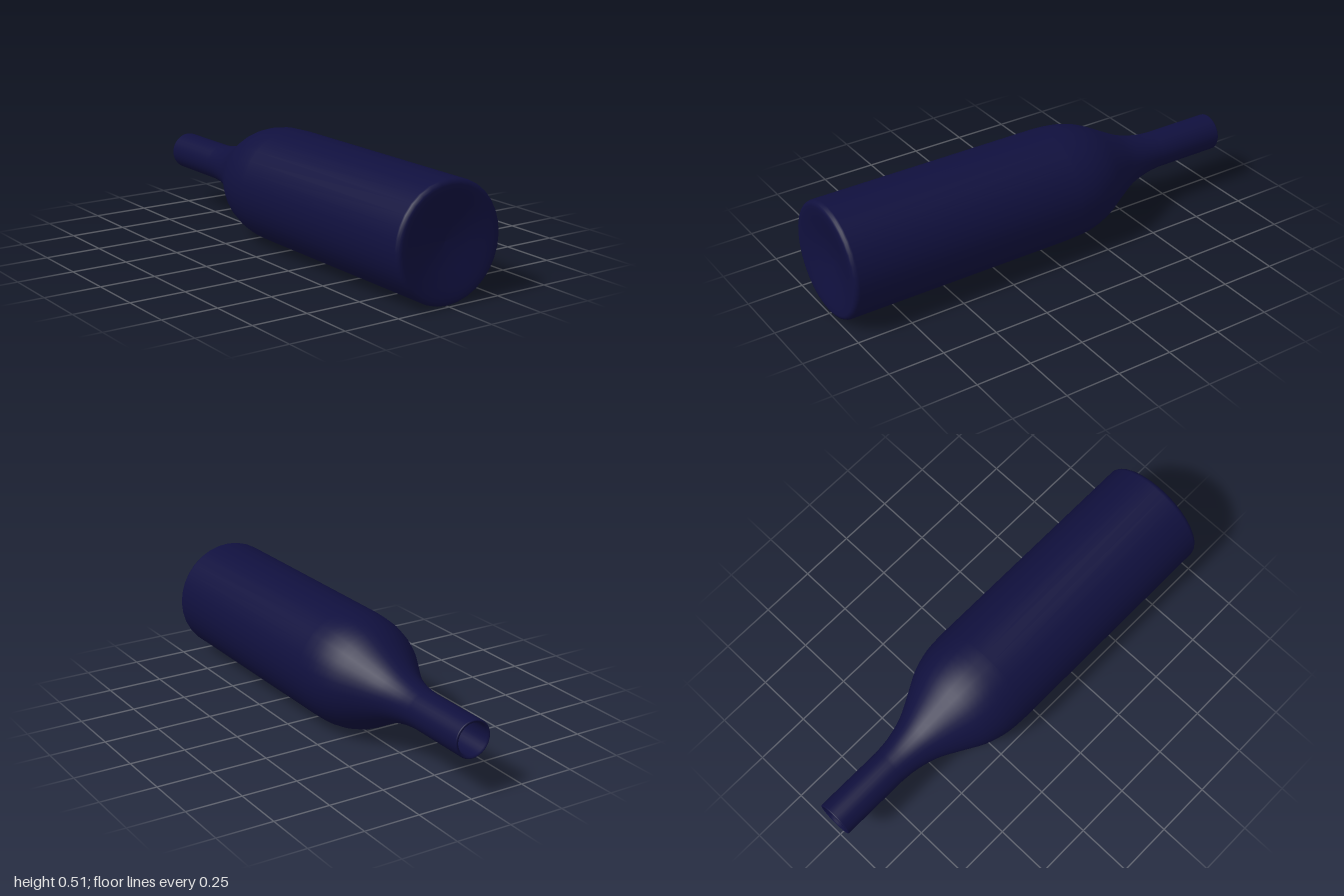
import * as THREE from 'three';

const R = 0.257; // body radius
const NECK = 0.083; // neck radius
const WALL = 0.013;

export function createModel() {
  const group = new THREE.Group();
  group.name = 'bottle';
  const glass = new THREE.MeshStandardMaterial({ color: 0x10103e, side: THREE.DoubleSide });

  // Shoulder: [radius, distance from base], sampled as a smooth curve
  const shoulder = new THREE.SplineCurve([
    [R, 1.1], [0.25, 1.2], [0.222, 1.3], [0.169, 1.4],
    [0.118, 1.5], [0.091, 1.6], [NECK, 1.68],
  ].map(([r, h]) => new THREE.Vector2(r, h))).getPoints(18);

  // Rounded corner as a quarter arc
  const arc = (r, h, radius, from, to, steps = 4) =>
    Array.from({ length: steps + 1 }, (_, i) => {
      const a = from + ((to - from) * i) / steps;
      return new THREE.Vector2(r + Math.cos(a) * radius, h + Math.sin(a) * radius);
    });

  // Shallow hollow in the base, from the axis outwards
  const punt = [[0, 0.035], [0.06, 0.031], [0.12, 0.02], [0.18, 0.006], [0.215, 0.001]]
    .map(([r, h]) => new THREE.Vector2(r, h));

  // Outer skin from base to lip
  const outer = [
    ...punt,
    ...arc(R - 0.022, 0.022, 0.022, -Math.PI / 2, 0),
    ...shoulder,
    ...arc(NECK - 0.006, 1.994, 0.006, 0, Math.PI / 2, 3),
  ];

  // Inner skin from lip back down to the base
  const inner = [
    new THREE.Vector2(NECK - WALL, 1.995),
    ...shoulder.map((p) => new THREE.Vector2(p.x - WALL, p.y)).reverse(),
    new THREE.Vector2(R - WALL, 0.05),
    ...punt.map((p) => new THREE.Vector2(p.x, p.y + 0.02)).reverse(),
  ];

  // Lay the bottle down with its base to the front
  const geometry = new THREE.LatheGeometry([...outer, ...inner], 32);
  geometry.rotateX(-Math.PI / 2);
  const bottle = new THREE.Mesh(geometry, glass);
  bottle.name = 'bottleGlass';
  bottle.position.set(0, R, 1);
  group.add(bottle);
  return group;
}
